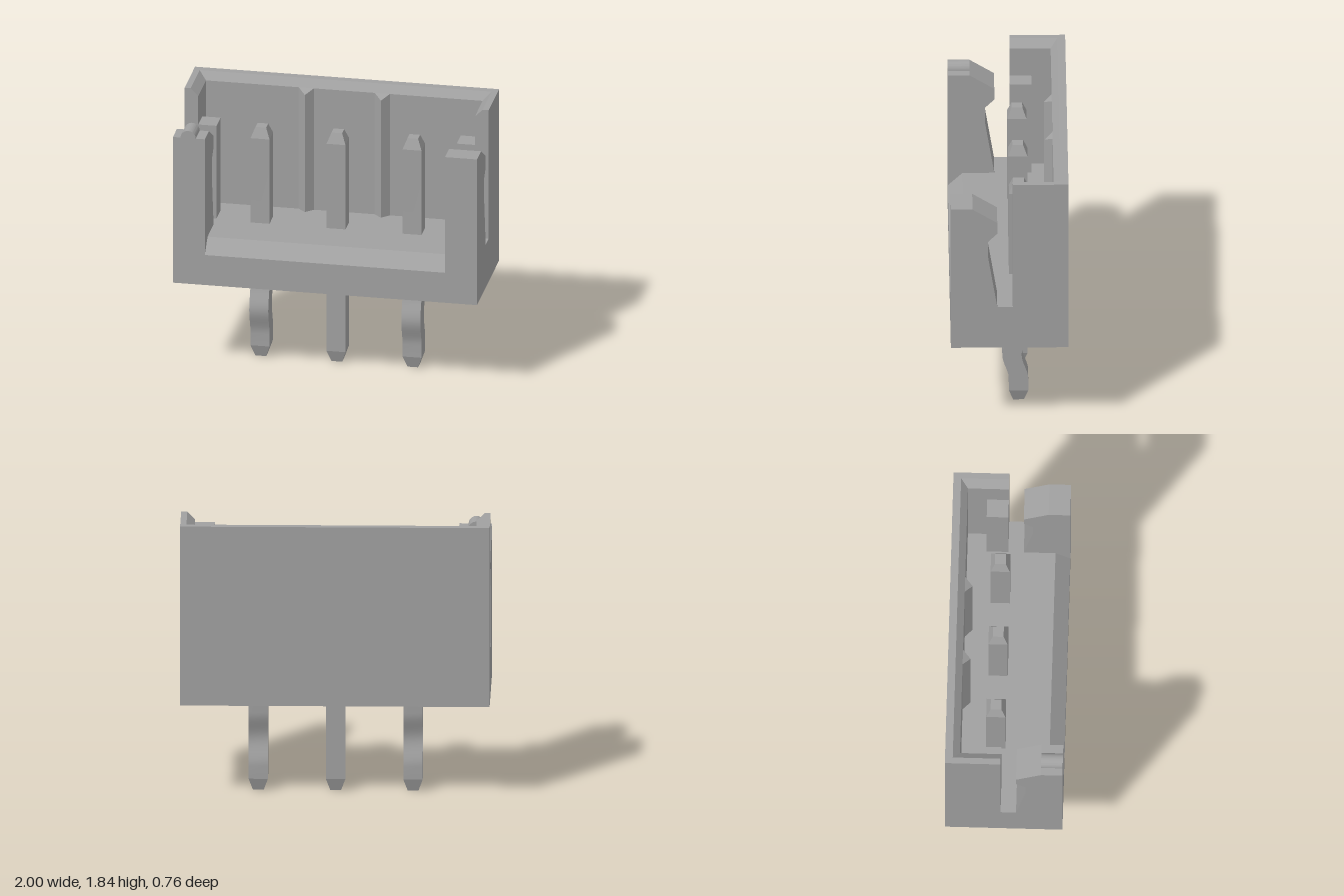
import * as THREE from 'three';
import { toCreasedNormals } from 'three/addons/utils/BufferGeometryUtils.js';

// Solid through rings of [x, y, z] corners, counter-clockwise from above, bottom ring first
function loft(rings) {
  const pos = [];
  const tri = (a, b, c) => pos.push(...a, ...b, ...c);
  for (let k = 0; k < rings.length - 1; k++) {
    const lo = rings[k], hi = rings[k + 1];
    lo.forEach((a, i) => {
      const j = (i + 1) % lo.length;
      tri(a, lo[j], hi[j]);
      tri(a, hi[j], hi[i]);
    });
  }
  const cap = (ring, up) => {
    const outline = ring.map(([x, , z]) => new THREE.Vector2(x, -z));
    THREE.ShapeUtils.triangulateShape(outline, []).forEach(([a, b, c]) =>
      up ? tri(ring[a], ring[b], ring[c]) : tri(ring[c], ring[b], ring[a]));
  };
  cap(rings[0], false);
  cap(rings[rings.length - 1], true);
  const geo = new THREE.BufferGeometry();
  geo.setAttribute('position', new THREE.Float32BufferAttribute(pos, 3));
  return toCreasedNormals(geo, 0.28);
}

// Side profile of [z, y] points extruded from x0 to x1
function sideProfile(points, x0, x1) {
  const shape = new THREE.Shape(points.map(([z, y]) => new THREE.Vector2(-z, y)));
  const geo = new THREE.ExtrudeGeometry(shape, { depth: x1 - x0, bevelEnabled: false });
  return geo.rotateY(Math.PI / 2).translate(x0, 0, 0);
}

export function createModel() {
  const model = new THREE.Group();
  const grey = new THREE.MeshStandardMaterial({ color: 0xa0a0a0 });
  grey.name = 'grey';
  const add = (name, geo) => {
    const mesh = new THREE.Mesh(geo, grey);
    mesh.name = name;
    model.add(mesh);
    return mesh;
  };

  const bottom = 0.64, floor = 0.94, inner = 0.79;

  // Floor with the low bevelled front wall
  add('base', sideProfile(
    [[-0.38, bottom], [0.38, bottom], [0.38, 0.85], [0.285, floor], [-0.38, floor]], -inner, inner));

  // End blocks with hooked front posts, and rails behind the side slots
  const post = [[-0.38, bottom], [0.38, bottom], [0.38, 1.66], [0.24, 1.66], [0.08, 1.56],
    [0.08, 1.48], [0.14, 1.42], [0.14, 1.31], [0.08, floor], [-0.38, floor]];
  for (const [side, s] of [['left', 1], ['right', -1]]) {
    add(side + 'Post', sideProfile(post, s > 0 ? inner : -1, s > 0 ? 1 : -inner));
    const rail = add(side + 'Rail', new THREE.BoxGeometry(0.12, 0.65, 0.14));
    rail.position.set(s * 0.85, floor + 0.325, -0.09);
  }

  // Back and side walls with a chamfered inner rim
  const wallRing = (y, x, z) => [[-1, -0.02], [-x, -0.02], [-x, z], [x, z], [x, -0.02],
    [1, -0.02], [1, -0.38], [-1, -0.38]].map(([px, pz]) => [px, y, pz]);
  add('walls', loft([
    wallRing(floor, 0.91, -0.285), wallRing(1.79, 0.91, -0.285), wallRing(1.84, 0.96, -0.33)]));

  // Triangular ribs on the back wall
  for (const x of [-0.25, 0.25]) {
    const ribRing = (y, tipY) => [[x - 0.05, y, -0.285], [x, tipY, -0.235], [x + 0.05, y, -0.285]];
    add('rib', loft([ribRing(floor, floor), ribRing(1.79, 1.76)]));
  }

  // Half-round marker on the right post
  const bump = new THREE.Shape();
  bump.absarc(-0.9, 1.66, 0.05, 0, Math.PI);
  const bumpGeo = new THREE.ExtrudeGeometry(bump, { depth: 0.14, bevelEnabled: false, curveSegments: 16 });
  add('marker', toCreasedNormals(bumpGeo.translate(0, 0, 0.24), 0.5));

  // Square pins with tapered ends; the outer two have a kink in the leg
  const pinRing = (x, y, h, dz) => [[-h, h], [h, h], [h, -h], [-h, -h]]
    .map(([px, pz]) => [x + px, y, -0.0625 + dz + pz]);
  for (const x of [-0.5, 0, 0.5]) {
    const rings = [pinRing(x, 0, 0.035, 0), pinRing(x, 0.08, 0.0625, 0)];
    if (x !== 0) {
      for (let i = 0; i <= 16; i++) {
        const t = i / 8 - 1;
        const dz = 0.043 * Math.cos(t * Math.PI / 2) ** 2;
        rings.push(pinRing(x, 0.345 + t * 0.18, 0.0625, dz));
      }
    }
    rings.push(pinRing(x, 1.53, 0.0625, 0), pinRing(x, 1.6, 0.035, 0));
    add('pin', loft(rings));
  }
  return model;
}
